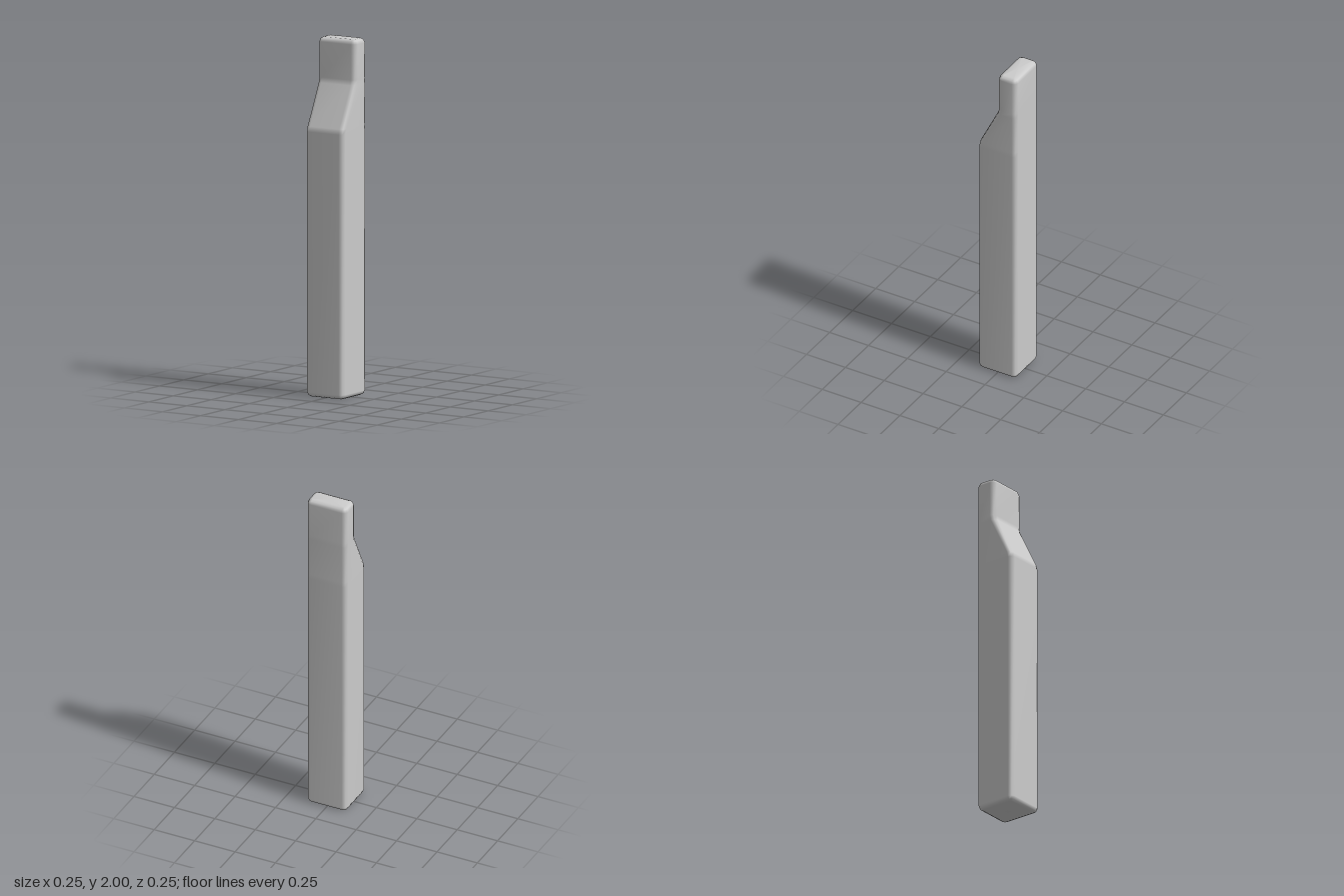
import * as THREE from 'three';

const HALF = 0.124;   // half width, and distance to the back face
const BEVEL = 0.028;  // rounding of the edges
const STEPS = 2;      // segments per rounded corner

// Horizontal rounded rectangle at height y, front face at z = front, shrunk by inset
function section(y, front, inset) {
  const r = Math.max(BEVEL - inset, 0.006);
  const x = HALF - inset - r;
  const zf = front - inset - r, zb = -HALF + inset + r;
  const corners = [[x, zf], [-x, zf], [-x, zb], [x, zb]];
  const ring = [];
  corners.forEach(([cx, cz], i) => {
    for (let s = 0; s <= STEPS; s++) {
      const a = (i + s / STEPS) * Math.PI / 2;
      ring.push([cx + r * Math.cos(a), y, cz + r * Math.sin(a)]);
    }
  });
  return ring;
}

// Skins a stack of sections, closed by a fan at each end
function loft(rings) {
  const n = rings[0].length, last = (rings.length - 1) * n;
  const points = rings.flat();
  const centre = (ring) => [0, ring[0][1], (ring[0][2] + ring[n - 1][2]) / 2];
  const bottom = points.push(centre(rings[0])) - 1;
  const top = points.push(centre(rings[rings.length - 1])) - 1;
  const index = [];
  for (let i = 0; i < n; i++) {
    const j = (i + 1) % n;
    for (let k = 0; k < last; k += n) {
      index.push(k + i, k + n + i, k + j, k + j, k + n + i, k + n + j);
    }
    index.push(bottom, i, j, top, last + j, last + i);
  }
  const geometry = new THREE.BufferGeometry();
  geometry.setAttribute('position', new THREE.Float32BufferAttribute(points.flat(), 3));
  geometry.setIndex(index);
  geometry.computeVertexNormals();
  return geometry;
}

export function createModel() {
  const group = new THREE.Group();
  group.name = 'post';

  // Height, front face and inset: square shaft, sloped shoulder, thin upper tongue
  const profile = [
    [0, 0.124, 0.024], [0.008, 0.124, 0.008], [0.026, 0.124, 0],
    [1.485, 0.124, 0], [1.515, 0.117, 0],
    [1.745, 0.003, 0], [1.775, -0.003, 0],
    [1.974, -0.003, 0], [1.992, -0.003, 0.008], [2, -0.003, 0.024],
  ];
  const body = new THREE.Mesh(
    loft(profile.map((p) => section(...p))),
    new THREE.MeshStandardMaterial({ color: 0xcccccc })
  );
  body.name = 'notchedPost';
  group.add(body);
  return group;
}
